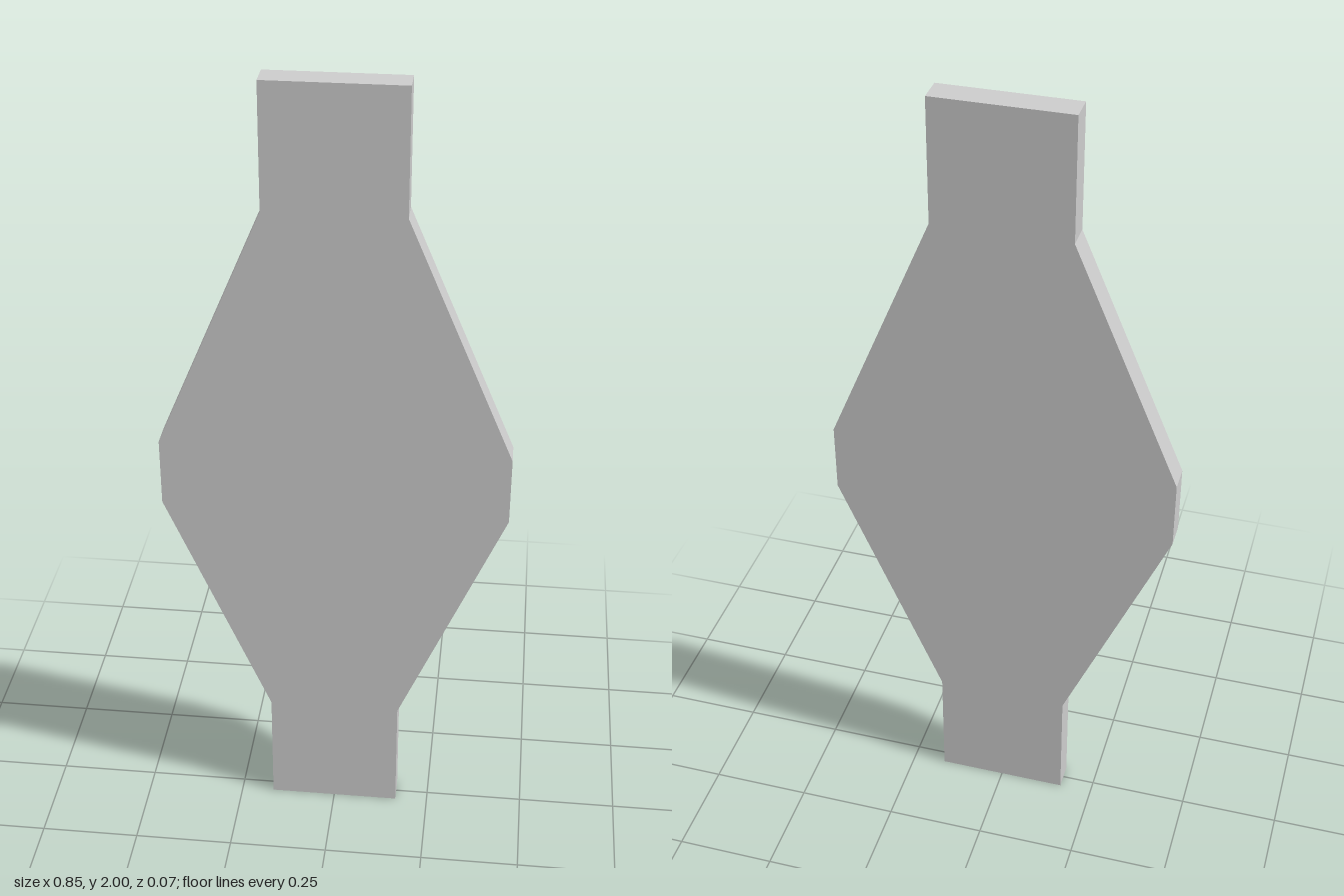
import * as THREE from 'three';

export function createModel() {
  const group = new THREE.Group();
  const depth = 0.067;

  // Right half of the outline, bottom to top: neck, flare, waist, flare, neck
  const half = [
    [0.166, 0], [0.166, 0.304], [0.426, 0.914],
    [0.426, 1.086], [0.166, 1.696], [0.166, 2],
  ].map(([x, y]) => new THREE.Vector2(x, y));

  // Mirror it to close the outline
  const mirrored = half.map((p) => new THREE.Vector2(-p.x, p.y)).reverse();
  const outline = new THREE.Shape([...half, ...mirrored]);

  // Flat plate, centred on its thickness
  const geometry = new THREE.ExtrudeGeometry(outline, { depth, bevelEnabled: false });
  geometry.translate(0, 0, -depth / 2);

  const plate = new THREE.Mesh(
    geometry,
    new THREE.MeshStandardMaterial({ color: 0xcccccc, flatShading: true }),
  );
  plate.name = 'flaredPlate';
  group.add(plate);
  return group;
}
